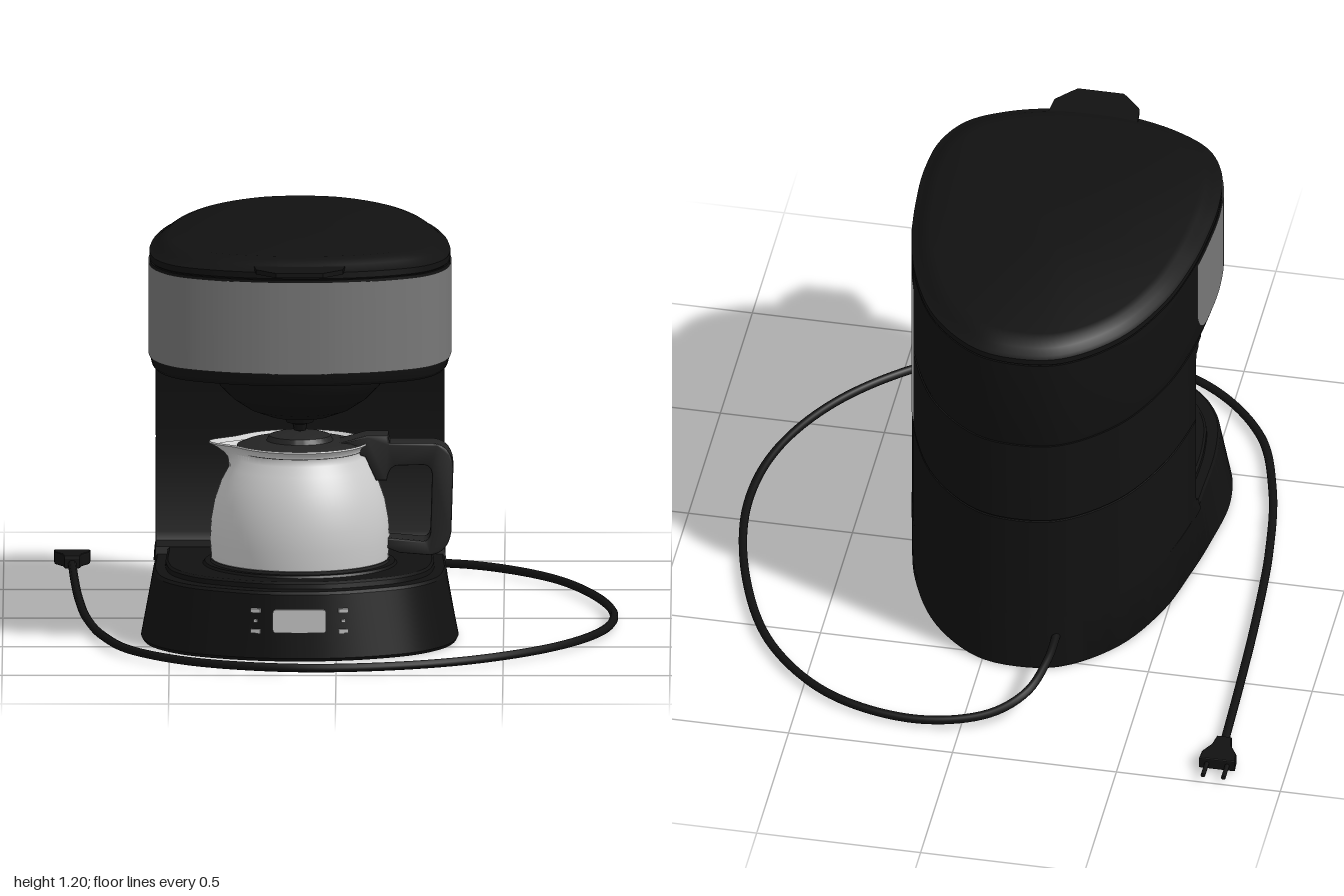
import * as THREE from 'three';
import { toCreasedNormals } from 'three/addons/utils/BufferGeometryUtils.js';

const CX = -0.11, POT_Z = 0.33;
const mat = (color, side = THREE.FrontSide) => new THREE.MeshStandardMaterial({ color, side });
const black = mat(0x111111), dark = mat(0x242424), silver = mat(0x777777, THREE.DoubleSide);
const light = mat(0xbbbbbb, THREE.DoubleSide), steel = mat(0xcccccc, THREE.DoubleSide);

// Egg-shaped plan: half-widths and depths from the back to the front
const REAR = [[0, -0.555], [0.13, -0.53], [0.28, -0.4], [0.38, -0.2], [0.428, 0]];
const HEAD = [...REAR, [0.445, 0.15], [0.45, 0.3], [0.43, 0.45], [0.37, 0.56], [0.26, 0.63], [0.12, 0.672], [0, 0.68]];
const FOOT = [...REAR, [0.455, 0.15], [0.475, 0.35], [0.44, 0.52], [0.35, 0.645], [0.22, 0.72], [0.1, 0.755], [0, 0.762]];
const FOOT_TOP = [...REAR, [0.435, 0.15], [0.437, 0.35], [0.41, 0.5], [0.33, 0.62], [0.2, 0.7], [0.1, 0.737], [0, 0.745]];

// Closed smooth outline, rear -> right -> front -> left
function outline(half, scale = 1, n = 132) {
  const mirrored = half.slice(1, -1).reverse().map(([x, z]) => [-x, z]);
  const pts = [...half, ...mirrored].map(([x, z]) => new THREE.Vector3(x, 0, z));
  return new THREE.CatmullRomCurve3(pts, true).getPoints(n).slice(0, n)
    .map(p => [p.x * scale, 0.06 + (p.z - 0.06) * scale]);
}
// Flatten everything in front of depth z0
const cut = (ring, z0) => ring.map(([x, z]) =>
  z > z0 ? [Math.max(-0.432, Math.min(0.432, x)), z0] : [x, z]);

function finish(verts, crease = 0.5) {
  const g = new THREE.BufferGeometry();
  g.setAttribute('position', new THREE.Float32BufferAttribute(verts, 3));
  return toCreasedNormals(g, crease);
}
// Skin a stack of [height, ring] sections and close both ends
function loft(sections) {
  const v = [], n = sections[0][1].length;
  const put = (s, i) => v.push(s[1][i % n][0], s[0], s[1][i % n][1]);
  for (let k = 0; k + 1 < sections.length; k++) {
    const a = sections[k], b = sections[k + 1];
    for (let i = 0; i < n; i++) {
      put(a, i); put(b, i + 1); put(a, i + 1);
      put(a, i); put(b, i); put(b, i + 1);
    }
  }
  const lo = sections[0], hi = sections[sections.length - 1];
  for (let i = 0; i < n; i++) {
    v.push(0, lo[0], 0); put(lo, i); put(lo, i + 1);
    v.push(0, hi[0], 0); put(hi, i + 1); put(hi, i);
  }
  return finish(v);
}
// Thin panel following the head outline between two height rules
function panel(keep, bottom, top) {
  const v = [], ring = outline(HEAD, 1.007, 720);
  for (let i = 0; i + 1 < ring.length; i++) {
    const a = ring[i], b = ring[i + 1];
    if (!keep(a) || !keep(b)) continue;
    const p = [a[0], bottom(a[1]), a[1]], q = [b[0], bottom(b[1]), b[1]];
    const r = [b[0], top(b[1]), b[1]], s = [a[0], top(a[1]), a[1]];
    v.push(...p, ...r, ...q, ...p, ...s, ...r);
  }
  return finish(v);
}
const lathe = (pts, seg = 64) => toCreasedNormals(
  new THREE.LatheGeometry(pts.map(p => new THREE.Vector2(...p)), seg), 0.6);

export function createModel() {
  const model = new THREE.Group();
  const body = new THREE.Group();
  body.name = 'machine';
  body.position.x = CX;
  model.add(body);
  const add = (name, geo, m, parent = body, x = 0, y = 0, z = 0) => {
    const mesh = new THREE.Mesh(geo, m);
    mesh.name = name;
    mesh.position.set(x, y, z);
    parent.add(mesh);
    return mesh;
  };

  // Base with raised deck and warming plate
  add('base', loft([[0, outline(FOOT, 0.99)], [0.01, outline(FOOT)], [0.2, outline(FOOT_TOP)], [0.208, outline(FOOT_TOP, 0.985)]]), black);
  add('deck', loft([[0.2, outline(FOOT_TOP, 0.92)], [0.222, outline(FOOT_TOP, 0.915)], [0.228, outline(FOOT_TOP, 0.9)]]), black);
  add('warmingPlate', new THREE.CylinderGeometry(0.285, 0.295, 0.012, 64), black, body, 0, 0.229, POT_Z);

  // Rear column, filleted where it meets deck and head, with a fine seam
  const ring = outline(HEAD), slim = outline(HEAD, 0.992);
  add('column', loft([[0.19, cut(ring, 0.08)], [0.23, cut(ring, 0.07)], [0.245, cut(ring, 0.042)], [0.27, cut(ring, 0.03)],
    [0.555, cut(ring, 0.03)], [0.556, cut(slim, 0.03)], [0.561, cut(slim, 0.03)], [0.562, cut(ring, 0.03)],
    [0.77, cut(ring, 0.03)], [0.8, cut(ring, 0.042)], [0.818, cut(ring, 0.065)], [0.84, cut(ring, 0.1)]]), black);

  // Head, lid and lifting tab
  add('head', loft([[0.82, outline(HEAD, 0.965)], [0.83, outline(HEAD, 0.985)], [0.855, ring], [1.145, ring]]), black);
  add('lid', loft([[1.145, outline(HEAD, 0.99)], [1.15, ring], [1.168, ring], [1.172, outline(HEAD, 0.975)],
    [1.185, outline(HEAD, 0.94)], [1.197, outline(HEAD, 0.9)], [1.203, outline(HEAD, 0.86)]]), black);
  const tab = new THREE.Shape([[-0.14, 0.6], [0.14, 0.6], [0.13, 0.7], [0.09, 0.745], [0.07, 0.765],
    [-0.07, 0.765], [-0.09, 0.745], [-0.13, 0.7]].map(p => new THREE.Vector2(...p)));
  add('lidTab', new THREE.ExtrudeGeometry(tab, { depth: 0.014, bevelEnabled: false }).rotateX(Math.PI / 2), black, body, 0, 1.181, 0);

  // Metal band around the head, rounded at its lower rear corners
  const R = 0.11;
  add('headBand', panel(p => p[1] > 0.03,
    z => 0.86 + R - Math.sqrt(Math.max(0, R * R - Math.max(0, 0.03 + R - z) ** 2)), () => 1.138), silver);
  // Water level window on one side
  const inset = z => 0.02 - Math.sqrt(Math.max(0, 0.0004 - Math.max(0, Math.abs(z + 0.165) - 0.015) ** 2));
  add('waterWindow', panel(p => p[0] > 0 && Math.abs(p[1] + 0.165) < 0.035,
    z => 0.595 + inset(z), z => 1.112 - inset(z)), light);

  // Filter basket and drip nozzle
  add('filterBasket', lathe([[0, 0.625], [0.018, 0.63], [0.022, 0.65], [0.04, 0.655], [0.045, 0.668], [0.09, 0.675], [0.15, 0.697],
    [0.2, 0.73], [0.24, 0.77], [0.26, 0.81], [0.262, 0.83]]), black, body, 0, 0, POT_Z);

  // Display and buttons
  const screen = new THREE.Shape();
  screen.absarc(0.07, 0.025, 0.01, 0, Math.PI / 2);
  screen.absarc(-0.07, 0.025, 0.01, Math.PI / 2, Math.PI);
  screen.absarc(-0.07, -0.025, 0.01, Math.PI, Math.PI * 1.5);
  screen.absarc(0.07, -0.025, 0.01, Math.PI * 1.5, Math.PI * 2);
  add('display', new THREE.ExtrudeGeometry(screen, { depth: 0.025, bevelEnabled: false }), light, body, 0, 0.12, 0.732).rotation.x = -0.07;
  for (const s of [-1, 1]) for (const [y, w, h] of [[0.152, 0.03, 0.012], [0.121, 0.012, 0.008], [0.09, 0.03, 0.012]])
    add('button', new THREE.BoxGeometry(w, h, 0.025), light, body, s * 0.13, y, 0.733).rotation.y = s * 0.2;

  // Carafe: turned body with a pouring lip pulled out of the rim
  const carafe = new THREE.Group();
  carafe.name = 'carafe';
  carafe.position.set(CX, 0, POT_Z);
  model.add(carafe);
  const jug = new THREE.LatheGeometry([[0, 0.236], [0.255, 0.236], [0.265, 0.245], [0.269, 0.3], [0.266, 0.36], [0.255, 0.42], [0.236, 0.475],
    [0.212, 0.52], [0.193, 0.55], [0.186, 0.565], [0.19, 0.58], [0.205, 0.592], [0.203, 0.597], [0.185, 0.585]].map(p => new THREE.Vector2(...p)), 96);
  const P = jug.attributes.position;
  for (let i = 0; i < P.count; i++) {
    const x = P.getX(i), z = P.getZ(i), r = Math.hypot(x, z);
    const up = THREE.MathUtils.smoothstep(P.getY(i), 0.52, 0.597);
    const k = r ? 1 + 0.068 * up * Math.exp(-((Math.atan2(z, -x) / 0.28) ** 2)) / r : 1;
    P.setX(i, x * k);
    P.setZ(i, z * k);
  }
  add('jug', toCreasedNormals(jug, 0.7), steel, carafe);
  add('jugFoot', new THREE.CylinderGeometry(0.268, 0.268, 0.012, 64), dark, carafe, 0, 0.238, 0);
  add('jugLid', lathe([[0.188, 0.57], [0.188, 0.585], [0.16, 0.596], [0.1, 0.6], [0.092, 0.615], [0.07, 0.622], [0, 0.625]]), dark, carafe);

  // Carafe handle: a rounded loop outline with a finger opening
  const h = new THREE.Shape();
  h.moveTo(0.1, 0.59);
  h.lineTo(0.2, 0.615);
  h.lineTo(0.26, 0.615);
  h.lineTo(0.265, 0.592);
  h.lineTo(0.4, 0.592);
  h.quadraticCurveTo(0.453, 0.585, 0.454, 0.52);
  h.lineTo(0.448, 0.33);
  h.quadraticCurveTo(0.44, 0.268, 0.39, 0.263);
  h.lineTo(0.3, 0.27);
  h.lineTo(0.262, 0.285);
  h.lineTo(0.262, 0.305);
  h.lineTo(0.37, 0.295);
  h.quadraticCurveTo(0.395, 0.298, 0.397, 0.33);
  h.lineTo(0.402, 0.5);
  h.quadraticCurveTo(0.4, 0.535, 0.37, 0.537);
  h.lineTo(0.29, 0.535);
  h.quadraticCurveTo(0.262, 0.53, 0.256, 0.49);
  h.lineTo(0.232, 0.49);
  h.lineTo(0.2, 0.56);
  add('handle', toCreasedNormals(new THREE.ExtrudeGeometry(h, { depth: 0.084, bevelSize: 0.006, bevelThickness: 0.008, bevelSegments: 2, curveSegments: 8 }), 0.6),
    dark, carafe, 0, 0, -0.042);

  // Power cord lying around the machine
  const path = [[-0.225, -0.5, 0.12], [-0.22, -0.65, 0.113], [-0.18, -0.78, 0.085], [-0.08, -0.85, 0.045], [0.13, -0.885], [0.4, -0.82],
    [0.62, -0.62], [0.76, -0.32], [0.83, 0.05], [0.79, 0.35], [0.64, 0.63], [0.38, 0.86], [0.1, 0.968], [-0.15, 0.98], [-0.42, 0.88],
    [-0.61, 0.68], [-0.7, 0.42], [-0.748, 0.12], [-0.772, -0.2], [-0.785, -0.5], [-0.795, -0.84]]
    .map(([x, z, y = 0.02]) => new THREE.Vector3(x, y, z));
  add('cord', new THREE.TubeGeometry(new THREE.CatmullRomCurve3(path), 240, 0.013, 10), black, model);

  // Two-pin plug
  const plug = new THREE.Group();
  plug.name = 'plug';
  plug.position.set(-0.795, 0.026, 0);
  model.add(plug);
  const plugShape = new THREE.Shape([[-0.02, 0.825], [0.02, 0.825], [0.027, 0.865], [0.05, 0.905], [0.052, 0.938],
    [-0.052, 0.938], [-0.05, 0.905], [-0.027, 0.865]].map(p => new THREE.Vector2(...p)));
  add('plugBody', new THREE.ExtrudeGeometry(plugShape, { depth: 0.026, bevelSize: 0.003, bevelThickness: 0.006, bevelSegments: 2 })
    .rotateX(-Math.PI / 2), black, plug, 0, -0.013, 0);
  for (const s of [-1, 1])
    add('pin', new THREE.CylinderGeometry(0.007, 0.007, 0.07, 12).rotateX(Math.PI / 2), black, plug, s * 0.031, 0, -0.965);
  return model;
}
